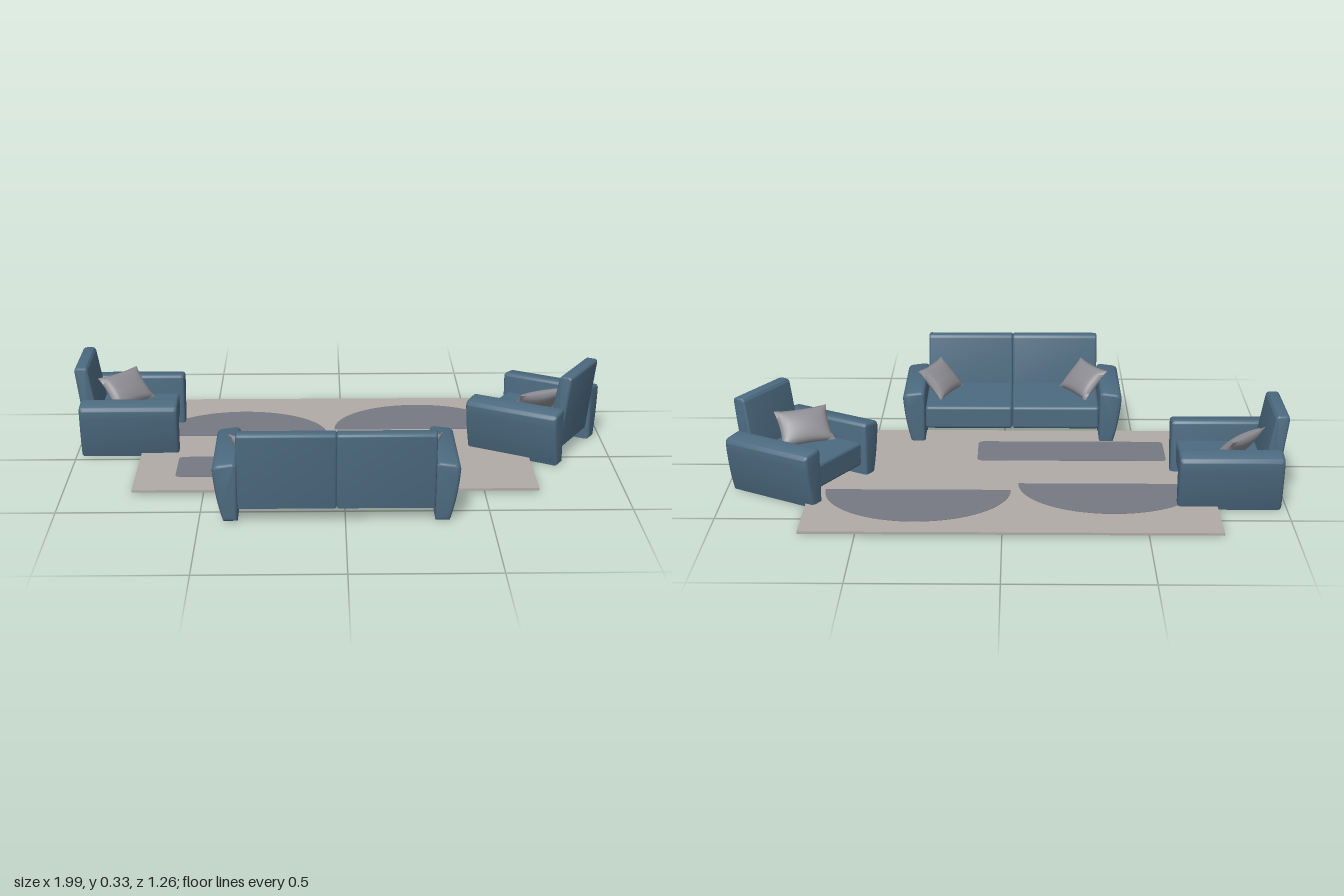
import * as THREE from 'three';
import { toCreasedNormals } from 'three/addons/utils/BufferGeometryUtils.js';
import { RoundedBoxGeometry } from 'three/addons/geometries/RoundedBoxGeometry.js';

const mat = (name, color) => Object.assign(new THREE.MeshStandardMaterial({ color }), { name });

function mesh(name, geometry, material, parent) {
  const m = new THREE.Mesh(geometry, material);
  m.name = name;
  parent.add(m);
  return m;
}

// Extrusion with rounded edges, centred on its depth
function softExtrude(shape, depth, bevel) {
  const g = new THREE.ExtrudeGeometry(shape, {
    depth: depth - 2 * bevel, bevelEnabled: bevel > 0, bevelSize: bevel, bevelThickness: bevel,
    bevelOffset: -bevel, bevelSegments: 3, curveSegments: 8,
  });
  g.translate(0, 0, bevel - depth / 2);
  return toCreasedNormals(g, 0.7);
}

// Flared armrest cross-section; side is +1 or -1, w is the half width of the seat
function armShape(side, w) {
  const x = (v) => side * (w + v);
  const s = new THREE.Shape();
  s.moveTo(x(0), 0);
  s.lineTo(x(0), 0.195);
  s.quadraticCurveTo(x(0), 0.212, x(0.018), 0.212);
  s.lineTo(x(0.065), 0.206);
  s.quadraticCurveTo(x(0.086), 0.203, x(0.084), 0.18);
  s.quadraticCurveTo(x(0.076), 0.08, x(0.05), 0);
  s.closePath();
  return s;
}

// Leaning backrest side profile (z, y), moved by dz
function backShape(dz) {
  const s = new THREE.Shape();
  s.moveTo(-0.188 + dz, 0.05);
  s.lineTo(-0.223 + dz, 0.315);
  s.quadraticCurveTo(-0.225 + dz, 0.33, -0.21 + dz, 0.331);
  s.lineTo(-0.188 + dz, 0.331);
  s.quadraticCurveTo(-0.177 + dz, 0.331, -0.174 + dz, 0.318);
  s.lineTo(-0.135 + dz, 0.1);
  s.lineTo(-0.135 + dz, 0.05);
  s.closePath();
  return s;
}

// Seat facing +z, with one or more cushions between two arms
function makeSeat(name, cushions, cushionWidth, dz, front, fabric) {
  const g = new THREE.Group();
  g.name = name;
  const w = (cushions * cushionWidth) / 2;
  for (const side of [-1, 1])
    mesh(side > 0 ? 'leftArm' : 'rightArm', softExtrude(armShape(side, w), 0.365, 0.012), fabric, g);
  for (let i = 0; i < cushions; i++) {
    const x = (i + 0.5) * cushionWidth - w;
    const back = mesh('backCushion', softExtrude(backShape(dz), cushionWidth, 0.007), fabric, g);
    back.rotation.y = -Math.PI / 2;
    back.position.x = x;
    // profile z runs along x before the turn
    const rear = -0.15 + dz;
    const seat = mesh('seatCushion', new RoundedBoxGeometry(cushionWidth, 0.09, front - rear, 3, 0.012), fabric, g);
    seat.position.set(x, 0.095, (front + rear) / 2);
  }
  return g;
}

// Pillow: a box plumped in the middle, thin along the seams, with pointed corners
function pillowGeometry(width, height, thick) {
  const g = new THREE.BoxGeometry(2, 2, 2, 14, 14, 1);
  const p = g.attributes.position;
  for (let i = 0; i < p.count; i++) {
    const u = p.getX(i), v = p.getY(i);
    const puff = 0.06 + 0.94 * Math.pow((1 - u * u) * (1 - v * v), 0.45);
    p.setXYZ(i,
      (u * width / 2) * (1 - 0.08 * (1 - v * v)),
      (v * height / 2) * (1 - 0.08 * (1 - u * u)),
      (p.getZ(i) * thick / 2) * puff);
  }
  return toCreasedNormals(g, 0.9);
}

// Half ellipse with its flat edge toward the front
function halfEllipse(cx, cz, rx, rz) {
  const s = new THREE.Shape();
  s.absellipse(cx, -cz, rx, rz, 0, Math.PI, false);
  s.closePath();
  return s;
}

function roundedRect(x0, z0, x1, z1, r) {
  const s = new THREE.Shape();
  const [b, t] = [-z1, -z0];
  s.moveTo(x0 + r, b);
  s.lineTo(x1 - r, b);
  s.quadraticCurveTo(x1, b, x1, b + r);
  s.lineTo(x1, t - r);
  s.quadraticCurveTo(x1, t, x1 - r, t);
  s.lineTo(x0 + r, t);
  s.quadraticCurveTo(x0, t, x0, t - r);
  s.lineTo(x0, b + r);
  s.quadraticCurveTo(x0, b, x0 + r, b);
  return s;
}

export function createModel() {
  const root = new THREE.Group();
  root.name = 'livingRoomSet';
  const fabric = mat('blueFabric', 0x4c6a80);
  const cushionGrey = mat('pillowGrey', 0x8c8c92);
  const rugBeige = mat('rugBeige', 0xb0aaa5);
  const rugGrey = mat('rugPatternGrey', 0x777983);

  // Rug and its pattern, showing on both faces
  mesh('rug', new THREE.BoxGeometry(1.45, 0.009, 0.97), rugBeige, root).position.set(-0.03, 0.0095, -0.15);
  const patterns = [
    halfEllipse(-0.385, -0.208, 0.33, 0.27),
    halfEllipse(0.305, -0.27, 0.333, 0.28),
    roundedRect(-0.61, 0.015, 0.1, 0.212, 0.025),
  ];
  for (const shape of patterns) {
    const g = new THREE.ExtrudeGeometry(shape, { depth: 0.0115, bevelEnabled: false, curveSegments: 32 });
    g.rotateX(-Math.PI / 2);
    mesh('rugPattern', g, rugGrey, root).position.y = 0.0037;
  }

  // Sofa and two armchairs: x, z, turn
  const place = (g, x, z, turn) => {
    g.position.set(x, 0, z);
    g.rotation.y = turn;
    root.add(g);
  };
  place(makeSeat('sofa', 2, 0.337, 0, 0.147, fabric), -0.03, 0.4025, Math.PI);
  place(makeSeat('rightArmchair', 1, 0.27, 0.021, 0.163, fabric), -0.7975, -0.22, Math.PI / 2);
  place(makeSeat('leftArmchair', 1, 0.27, 0.021, 0.163, fabric), 0.728, -0.159, (Math.PI * 4) / 3);

  // Leaning pillows: x, z and the horizontal direction each one faces
  const pillow = pillowGeometry(0.2, 0.145, 0.055);
  const spots = [
    [-0.31, 0.45, 0.87, -0.49],
    [0.255, 0.45, -0.91, -0.4],
    [-0.83, -0.272, 0.76, 0.65],
    [0.73, -0.09, -0.42, -0.91],
  ];
  for (const [x, z, fx, fz] of spots) {
    const p = mesh('pillow', pillow, cushionGrey, root);
    p.rotation.order = 'YXZ';
    p.rotation.set(-0.75, Math.atan2(fx, fz), 0);
    p.position.set(x, 0.19, z);
  }
  return root;
}
